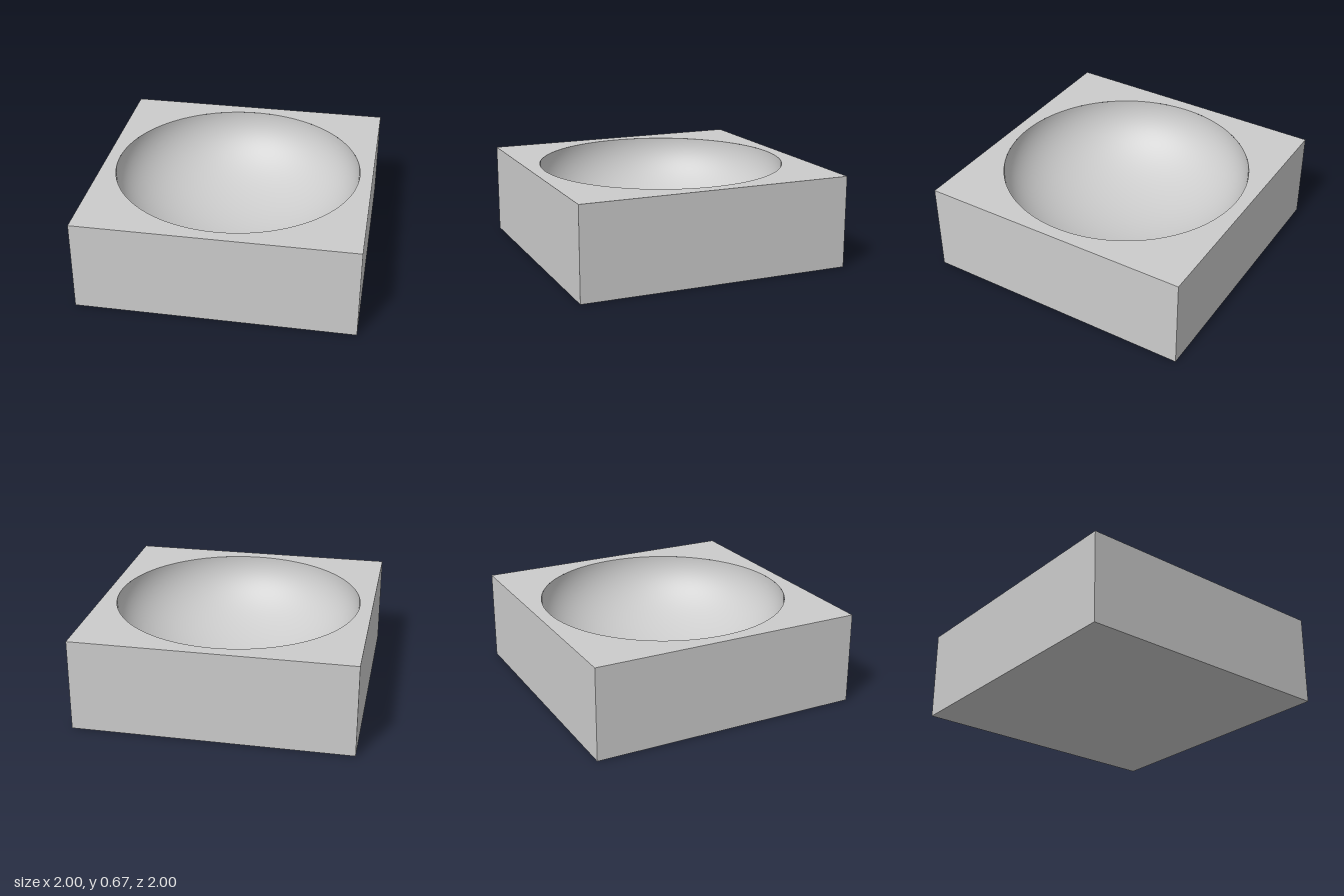
import * as THREE from 'three';

const HALF = 1;          // half width of the square block
const HEIGHT = 0.67;
const RIM = 0.905;       // radius of the bowl opening
const DEPTH = 0.57;      // depth of the bowl
const SEGMENTS = 128;

export function createModel() {
  const model = new THREE.Group();
  model.name = 'blockWithBowl';
  const material = new THREE.MeshStandardMaterial({ color: 0xcccccc });

  const add = (name, geometry) => {
    const mesh = new THREE.Mesh(geometry, material);
    mesh.name = name;
    model.add(mesh);
  };

  // Four upright walls
  ['frontWall', 'leftWall', 'backWall', 'rightWall'].forEach((name, i) => {
    const wall = new THREE.PlaneGeometry(2 * HALF, HEIGHT);
    wall.translate(0, HEIGHT / 2, HALF);
    wall.rotateY((i * Math.PI) / 2);
    add(name, wall);
  });

  // Flat underside
  add('base', new THREE.PlaneGeometry(2 * HALF, 2 * HALF).rotateX(Math.PI / 2));

  // Square top with a round opening
  const square = new THREE.Shape([
    new THREE.Vector2(-HALF, -HALF),
    new THREE.Vector2(HALF, -HALF),
    new THREE.Vector2(HALF, HALF),
    new THREE.Vector2(-HALF, HALF),
  ]);
  square.holes.push(new THREE.Path().absarc(0, 0, RIM, 0, Math.PI * 2, true));
  const top = new THREE.ShapeGeometry(square, SEGMENTS);
  top.rotateX(-Math.PI / 2).translate(0, HEIGHT, 0);
  add('topSurface', top);

  // Flattened half-sphere hollow with steep sides, profiled from rim to bottom to face inward
  const steps = 48;
  const profile = [];
  for (let i = steps; i >= 0; i--) {
    const a = (Math.PI / 2) * (i / steps);
    profile.push(new THREE.Vector2(RIM * Math.sin(a), HEIGHT - DEPTH * Math.cos(a)));
  }
  add('bowl', new THREE.LatheGeometry(profile, SEGMENTS));

  return model;
}
